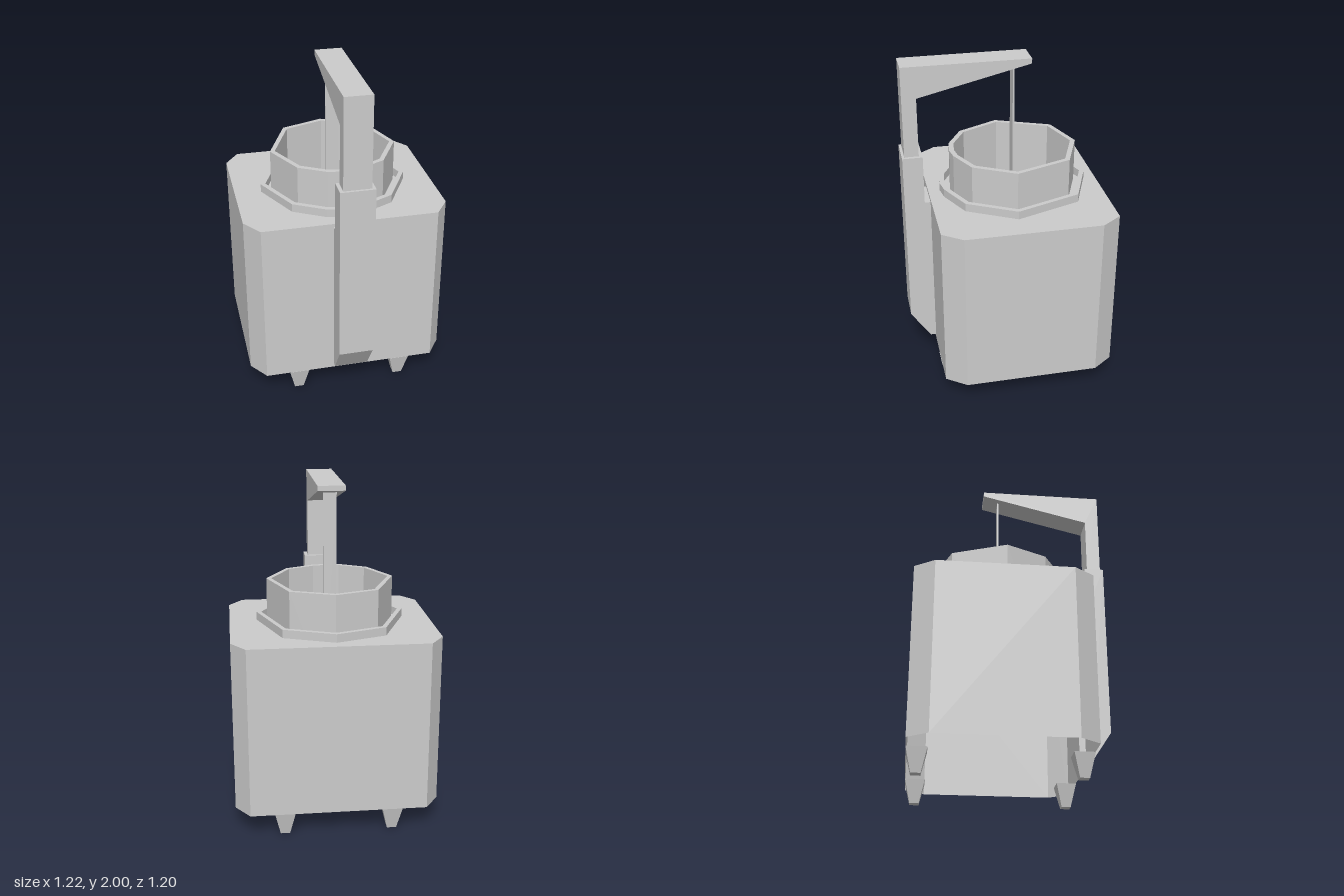
import * as THREE from 'three';

const material = new THREE.MeshStandardMaterial({ color: 0xcccccc, flatShading: true, side: THREE.DoubleSide });

function add(parent, name, geometry) {
  const mesh = new THREE.Mesh(geometry, material);
  mesh.name = name;
  parent.add(mesh);
  return mesh;
}

// Four-cornered sheet, corners counter-clockwise from its front
function quad(a, b, c, d) {
  const g = new THREE.BufferGeometry();
  g.setAttribute('position', new THREE.Float32BufferAttribute([...a, ...b, ...c, ...d], 3));
  g.setIndex([0, 1, 2, 0, 2, 3]);
  g.computeVertexNormals();
  return g;
}

const toShape = pts => new THREE.Shape(pts.map(([x, y]) => new THREE.Vector2(x, y)));

// Extrude an outline drawn in x and -z upwards from y0 to y1
function slab(shape, y0, y1) {
  return new THREE.ExtrudeGeometry(shape, { depth: y1 - y0, bevelEnabled: false })
    .rotateX(-Math.PI / 2).translate(0, y0, 0);
}

// Faceted outline of the pot at a given radius
const POT_Z = -0.075;
const POT = [[0.01, -0.53], [-0.29, -0.425], [-0.45, -0.04], [-0.31, 0.25], [-0.12, 0.36],
  [0, 0.375], [0.09, 0.36], [0.29, 0.265], [0.445, -0.02], [0.31, -0.41]];
const potOutline = r => POT.map(([x, z]) => [x * r / 0.45, -(POT_Z + (z - POT_Z) * r / 0.45)]);
function potRing(outer, inner) {
  const s = toShape(potOutline(outer));
  s.holes.push(toShape(potOutline(inner)));
  return s;
}

export function createModel() {
  const model = new THREE.Group();
  const BOTTOM = 0.14, TOP = 1.17;

  // Housing: thin chamfered walls, open below
  const housing = new THREE.Group();
  housing.name = 'housing';
  model.add(housing);
  const outline = [[-0.525, 0.445], [0.525, 0.445], [0.61, 0.325], [0.61, -0.48],
    [0.525, -0.6], [-0.525, -0.6], [-0.61, -0.48], [-0.61, 0.325]];
  for (let i = 1; i < outline.length; i++) {
    const [x0, z0] = outline[i], [x1, z1] = outline[(i + 1) % outline.length];
    add(housing, 'housingWall', quad([x0, BOTTOM, z0], [x1, BOTTOM, z1], [x1, TOP, z1], [x0, TOP, z0]));
  }

  // Front wall with the slot that opens into the arm casing
  const front = toShape([[-0.525, BOTTOM], [0.525, BOTTOM], [0.525, TOP], [-0.525, TOP]]);
  front.holes.push(toShape([[-0.1, 0.17], [-0.1, 1.15], [0.1, 1.15], [0.1, 0.17]]));
  add(housing, 'frontWall', new THREE.ShapeGeometry(front).translate(0, 0, 0.445));

  // Lid plate around the pot
  const lid = toShape(outline.map(([x, z]) => [x, -z]));
  lid.holes.push(toShape(potOutline(0.38)));
  add(housing, 'topPlate', new THREE.ShapeGeometry(lid).rotateX(-Math.PI / 2).translate(0, TOP, 0));

  // Pot, its floor and the low collar around it
  add(model, 'potWall', slab(potRing(0.385, 0.355), 0.67, 1.43));
  add(model, 'potFloor', slab(toShape(potOutline(0.37)), 0.67, 0.69));
  add(model, 'collar', slab(potRing(0.45, 0.42), TOP, 1.22));

  // Tapered feet
  for (const x of [-0.32, 0.32]) {
    for (const z of [0.387, -0.54]) {
      const foot = new THREE.CylinderGeometry(0.06 * Math.SQRT2, 0.028 * Math.SQRT2, BOTTOM, 4, 1)
        .rotateY(Math.PI / 4);
      add(model, 'foot', foot).position.set(x, BOTTOM / 2, z);
    }
  }

  // Arm casing: hollow channel, open towards the housing
  const casing = new THREE.Group();
  casing.name = 'armCasing';
  model.add(casing);
  const w = 0.103;
  const profile = [[0.445, 0.17], [0.48, 0.17], [0.6, 0.35], [0.6, 1.45], [0.48, 1.45], [0.48, 1.15], [0.445, 1.15]];
  for (let i = 0; i < profile.length - 1; i++) {
    const [z0, y0] = profile[i], [z1, y1] = profile[i + 1];
    add(casing, 'casingFace', quad([-w, y0, z0], [w, y0, z0], [w, y1, z1], [-w, y1, z1]));
  }
  const sideShape = toShape(profile.map(([z, y]) => [-z, y]));
  for (const side of [-1, 1]) {
    const g = new THREE.ShapeGeometry(sideShape).rotateY(Math.PI / 2).translate(side * w, 0, 0);
    if (side < 0) {
      // turn the faces of the right side outwards
      const ix = g.index.array;
      for (let i = 0; i < ix.length; i += 3) [ix[i], ix[i + 1]] = [ix[i + 1], ix[i]];
      g.computeVertexNormals();
    }
    add(casing, 'casingSide', g);
  }

  // Upper arm: post with a tapering beam over the pot
  const arm = toShape([[-0.585, 1.45], [-0.5, 1.45], [-0.5, 1.81], [0.17, 1.97], [0.17, 2], [-0.585, 2]]);
  add(model, 'upperArm', new THREE.ExtrudeGeometry(arm, { depth: 0.164, bevelEnabled: false })
    .translate(0, 0, -0.082).rotateY(Math.PI / 2));

  // Flat rod hanging from the beam into the pot
  add(model, 'rod', new THREE.BoxGeometry(0.08, 1.27, 0.01)).position.set(0, 1.325, -0.073);

  return model;
}
